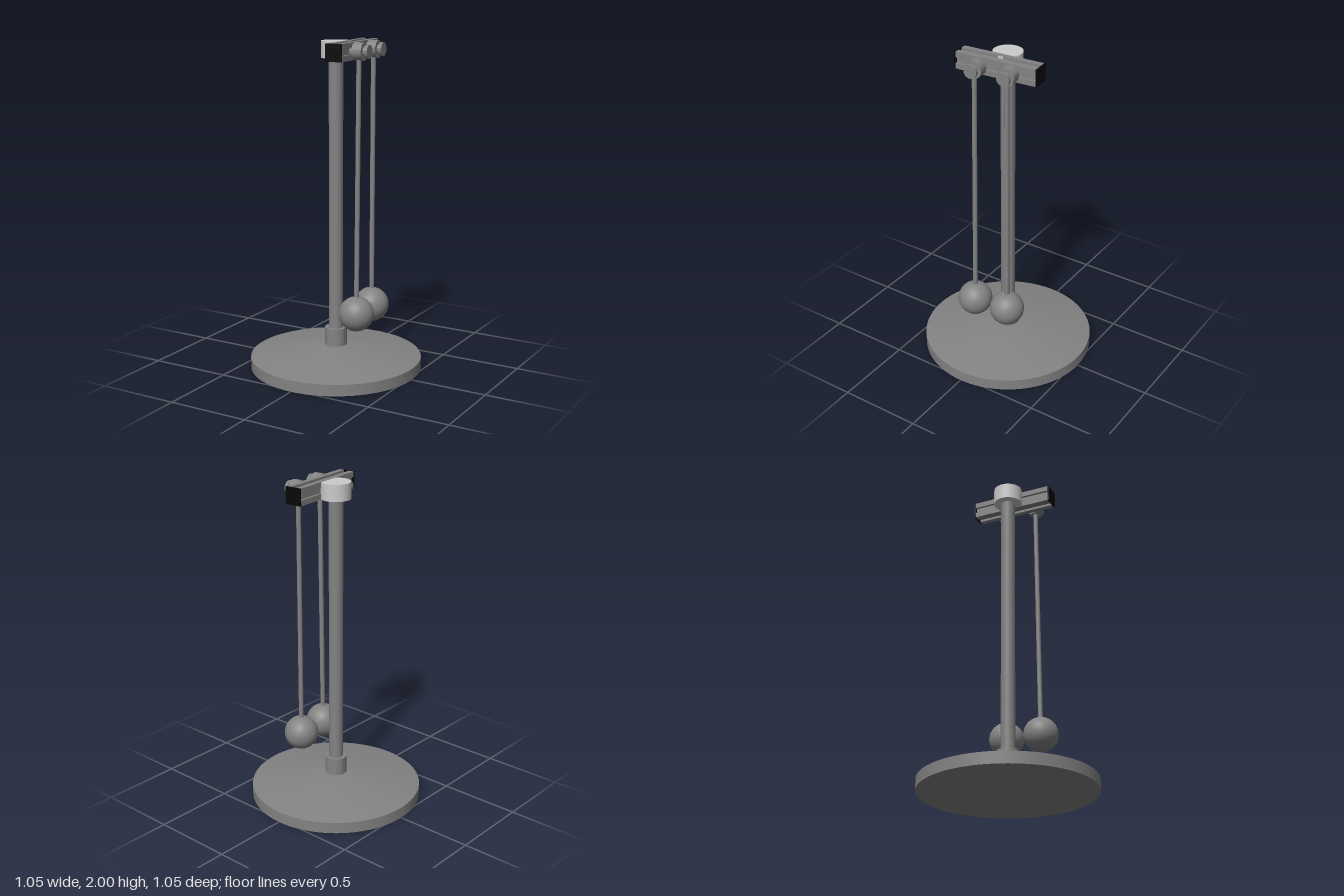
import * as THREE from 'three';
import { toCreasedNormals } from 'three/addons/utils/BufferGeometryUtils.js';

const dark = new THREE.MeshStandardMaterial({ color: 0x838383 });
const light = new THREE.MeshStandardMaterial({ color: 0xcccccc });
const black = new THREE.MeshStandardMaterial({ color: 0x080808 });

function part(name, geometry, material = dark) {
  const mesh = new THREE.Mesh(geometry, material);
  mesh.name = name;
  return mesh;
}

// Turned solid from [radius, height] pairs, with sharp edges kept
function turned(points, segments = 48) {
  const profile = points.map(([r, y]) => new THREE.Vector2(r, y));
  return toCreasedNormals(new THREE.LatheGeometry(profile, segments), 0.35);
}

// Cylinder between two points
function rodBetween(name, a, b, radius) {
  const dir = b.clone().sub(a);
  const mesh = part(name, new THREE.CylinderGeometry(radius, radius, dir.length(), 24));
  mesh.position.copy(a).add(b).multiplyScalar(0.5);
  mesh.quaternion.setFromUnitVectors(new THREE.Vector3(0, 1, 0), dir.normalize());
  return mesh;
}

// Square rail section with a slot in the middle of each side
function railShape(half, slot, depth) {
  const shape = new THREE.Shape();
  const side = [[-half, -half], [-slot, -half], [-slot, -half + depth], [slot, -half + depth], [slot, -half]];
  for (let i = 0; i < 4; i++) {
    const c = Math.round(Math.cos(i * Math.PI / 2)), s = Math.round(Math.sin(i * Math.PI / 2));
    side.forEach(([x, y], j) => {
      const px = x * c - y * s, py = x * s + y * c;
      if (i + j === 0) shape.moveTo(px, py);
      else shape.lineTo(px, py);
    });
  }
  shape.closePath();
  return shape;
}

export function createModel() {
  const model = new THREE.Group();
  model.name = 'pendulumStand';

  // Base, socket, post and top collar
  model.add(part('base', turned([[0, 0], [0.525, 0], [0.525, 0.07], [0.13, 0.14], [0, 0.14]], 96)));
  model.add(part('socket', turned([[0, 0.13], [0.067, 0.13], [0.067, 0.25], [0, 0.25]])));
  model.add(part('post', turned([[0, 0.13], [0.043, 0.13], [0.043, 1.92], [0, 1.92]])));
  model.add(part('topCollar', turned([[0, 1.9], [0.088, 1.9], [0.088, 2], [0, 2]]), light));

  // Slotted rail with black end caps, turned slightly about the post
  const railGroup = new THREE.Group();
  railGroup.name = 'railAssembly';
  railGroup.position.set(0.104, 1.95, -0.012);
  railGroup.rotation.y = 0.085;
  model.add(railGroup);

  const half = 0.051, length = 0.505;
  const railGeometry = new THREE.ExtrudeGeometry(railShape(half, 0.018, 0.015), { depth: length, bevelEnabled: false });
  railGeometry.translate(0, 0, -length / 2);
  railGroup.add(part('rail', railGeometry));
  for (const s of [-1, 1]) {
    const cap = part('railEndCap', new THREE.BoxGeometry(half * 2, half * 2, 0.01), black);
    cap.position.z = s * (length / 2 + 0.005);
    railGroup.add(cap);
  }

  // Pivot hubs, each with a stub, drum, neck and end button
  const hubGeometry = turned([
    [0, 0.03], [0.028, 0.03], [0.028, 0.061], [0.052, 0.061], [0.052, 0.12],
    [0.028, 0.12], [0.028, 0.133], [0.04, 0.133], [0.04, 0.153], [0, 0.153],
  ]);
  hubGeometry.rotateZ(-Math.PI / 2);
  for (const z of [-0.105, 0.1]) {
    const hub = part('pivotHub', hubGeometry);
    hub.position.z = z;
    railGroup.add(hub);
  }

  // Two pendulums hanging from the hubs
  const pendulums = [
    { top: [0.186, 1.95, -0.117], bob: [0.185, 0.393, -0.116] },
    { top: [0.203, 1.95, 0.088], bob: [0.203, 0.393, 0.107] },
  ];
  for (const { top, bob } of pendulums) {
    const pendulum = new THREE.Group();
    pendulum.name = 'pendulum';
    const end = new THREE.Vector3(...bob);
    pendulum.add(rodBetween('rod', new THREE.Vector3(...top), end, 0.0145));
    const ball = part('bob', new THREE.SphereGeometry(0.105, 48, 32));
    ball.position.copy(end);
    pendulum.add(ball);
    model.add(pendulum);
  }

  return model;
}
